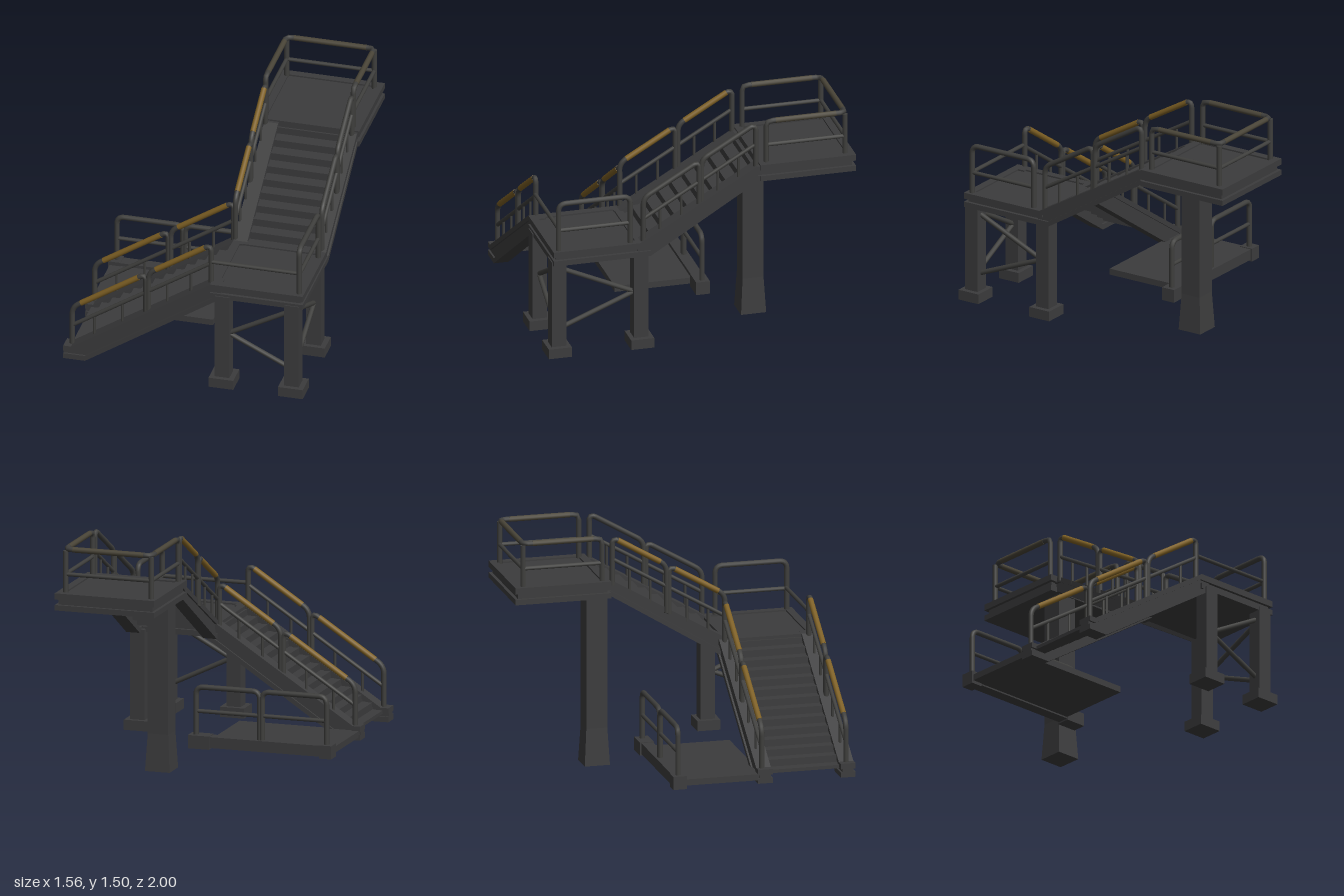
import * as THREE from 'three';

const mat = (name, color) => Object.assign(new THREE.MeshStandardMaterial({ color }), { name });

export function createModel() {
  const root = new THREE.Group();
  root.name = 'metalStaircase';
  const steel = mat('darkSteel', 0x3c3c3d);
  const railSteel = mat('railSteel', 0x3f3f3d);
  const yellow = mat('wornYellow', 0x7e6024);
  const worn = mat('fadedPaint', 0x4a4538);

  const add = (parent, name, geo, m) => {
    const mesh = new THREE.Mesh(geo, m);
    mesh.name = name;
    parent.add(mesh);
    return mesh;
  };
  // Box given by its limits
  const box = (parent, name, x0, x1, y0, y1, z0, z1, m = steel) => {
    const b = add(parent, name, new THREE.BoxGeometry(x1 - x0, y1 - y0, z1 - z0), m);
    b.position.set((x0 + x1) / 2, (y0 + y1) / 2, (z0 + z1) / 2);
    return b;
  };
  // Side profile extruded across z
  const slab = (parent, name, pts, z0, z1, m = steel) => {
    const shape = new THREE.Shape(pts.map(p => new THREE.Vector2(...p)));
    const s = add(parent, name, new THREE.ExtrudeGeometry(shape, { depth: z1 - z0, bevelEnabled: false }), m);
    s.position.z = z0;
    return s;
  };
  // Pipe through points with rounded corners
  const pipe = (parent, name, pts, r = 0.017, m = railSteel, bend = 0.05) => {
    const v = pts.map(p => new THREE.Vector3(...p));
    const path = new THREE.CurvePath();
    let last = v[0];
    for (let i = 1; i < v.length - 1; i++) {
      const a = v[i].clone().add(v[i - 1].clone().sub(v[i]).setLength(bend));
      const b = v[i].clone().add(v[i + 1].clone().sub(v[i]).setLength(bend));
      path.add(new THREE.LineCurve3(last, a));
      path.add(new THREE.QuadraticBezierCurve3(a, v[i], b));
      last = b;
    }
    path.add(new THREE.LineCurve3(last, v[v.length - 1]));
    return add(parent, name, new THREE.TubeGeometry(path, v.length > 2 ? 64 : 1, r, 10, false), m);
  };
  // Straight bar with closed ends
  const bar = (parent, name, a, b, r = 0.013, m = railSteel) => {
    const p = new THREE.Vector3(...a), d = new THREE.Vector3(...b).sub(p);
    const c = add(parent, name, new THREE.CylinderGeometry(r, r, d.length(), 10), m);
    c.position.copy(p).addScaledVector(d, 0.5);
    c.quaternion.setFromUnitVectors(new THREE.Vector3(0, 1, 0), d.normalize());
    return c;
  };

  // Platform: channel-edged frame with a slightly sunken deck
  const platform = (name, x0, x1, z0, z1, y0, y1) => {
    const g = new THREE.Group();
    g.name = name;
    root.add(g);
    const e = 0.02, h = 0.05;
    box(g, 'deck', x0 + e, x1 - e, y0 + 0.02, y1 - 0.01, z0 + e, z1 - e);
    box(g, 'lowerFlange', x0, x1, y0, y0 + 0.035, z0, z1);
    box(g, 'rimFront', x0, x1, y1 - 0.04, y1, z1 - h, z1);
    box(g, 'rimBack', x0, x1, y1 - 0.04, y1, z0, z0 + h);
    box(g, 'rimRight', x0, x0 + h, y1 - 0.04, y1, z0 + h, z1 - h);
    box(g, 'rimLeft', x1 - h, x1, y1 - 0.04, y1, z0 + h, z1 - h);
  };
  platform('middleLanding', 0.17, 0.77, 0.37, 0.96, 0.67, 0.765);
  platform('topPlatform', 0.12, 0.78, -1, -0.38, 1.1, 1.21);

  // Flight climbing along local +x between local z limits
  const flight = (name, f) => {
    const g = new THREE.Group();
    g.name = name;
    root.add(g);
    const { bottom, top, w, sw, steps, rails, h, split } = f;
    const [ta, tb] = [top[1], top[2]];
    const topY = s => ta[1] + (tb[1] - ta[1]) * (s - ta[0]) / (tb[0] - ta[0]);
    // Stringers: web with projecting top and bottom flanges
    const lift = (pts, d) => pts.map(([s, y]) => [s, y + d]);
    for (const z0 of [w[0], w[1] - sw]) {
      slab(g, 'stringerWeb', [...lift(bottom, 0.01), ...lift(top, -0.01).reverse()], z0 + 0.012, z0 + sw - 0.012);
      slab(g, 'stringerTopFlange', [...lift(top, -0.035), ...[...top].reverse()], z0, z0 + sw);
      slab(g, 'stringerBottomFlange', [...bottom, ...lift(bottom, 0.035).reverse()], z0, z0 + sw);
    }
    // Treads and risers
    const run = (tb[0] - ta[0]) / steps, rise = (tb[1] - ta[1]) / steps;
    for (let i = 0; i < steps; i++) {
      const s = ta[0] + i * run, y = ta[1] + i * rise - 0.02;
      const [z0, z1] = [w[0] + sw - 0.015, w[1] - sw + 0.015];
      box(g, 'tread', s - 0.012, s + run, y - 0.018, y + 0.004, z0, z1);
      box(g, 'riser', s + run - 0.012, s + run, y - 0.01, y + rise, z0, z1);
    }
    // Handrails: two hoops per side with a middle rail and short struts
    for (const { z, paint } of rails) {
      for (const [a, b] of [[split[0], split[1] - 0.008], [split[1] + 0.008, split[2]]]) {
        const ya = topY(a), yb = topY(b);
        pipe(g, 'handrailHoop', [[a, ya - 0.03, z], [a, ya + h, z], [b, yb + h, z], [b, yb - 0.03, z]]);
        bar(g, 'middleRail', [a, ya + h * 0.5, z], [b, yb + h * 0.5, z]);
        if (paint) {
          const at = t => [a + (b - a) * t, ya + (yb - ya) * t + h, z];
          bar(g, 'paintedHandrail', at(0.12), at(0.9), 0.0185, yellow);
        }
        for (const t of [0.3, 0.68]) {
          const s = a + (b - a) * t, y = topY(s);
          bar(g, 'strut', [s, y - 0.02, z], [s, y + h * 0.5, z], 0.009);
        }
      }
    }
    return g;
  };
  flight('lowerFlight', {
    bottom: [[-0.78, 0.09], [-0.64, 0.09], [0.24, 0.67]],
    top: [[-0.78, 0.18], [-0.73, 0.18], [0.17, 0.765], [0.24, 0.765]],
    w: [0.33, 0.96], sw: 0.095, steps: 13, h: 0.262, split: [-0.735, -0.25, 0.165],
    rails: [{ z: 0.365, paint: true }, { z: 0.91, paint: true }],
  });
  flight('upperFlight', {
    bottom: [[-0.41, 0.67], [-0.33, 0.67], [0.37, 1.1], [0.4, 1.1]],
    top: [[-0.41, 0.765], [-0.39, 0.765], [0.36, 1.2], [0.4, 1.2]],
    w: [0.17, 0.77], sw: 0.09, steps: 9, h: 0.28, split: [-0.37, 0, 0.36],
    rails: [{ z: 0.178, paint: true }, { z: 0.737, paint: false }],
  }).rotation.y = Math.PI / 2;

  // Ground platform beside the lower flight
  box(root, 'groundDeck', -0.77, 0.03, 0.11, 0.15, -0.18, 0.36);
  box(root, 'groundEdgeBeam', -0.77, 0.16, 0.1, 0.17, -0.21, -0.135);
  box(root, 'groundBeamEnd', 0.03, 0.17, 0.09, 0.175, -0.22, -0.13);
  box(root, 'groundBeamEnd', -0.78, -0.7, 0.09, 0.175, -0.22, -0.13);
  for (const [a, b] of [[-0.735, -0.308], [-0.292, 0.13]]) {
    pipe(root, 'groundRailHoop', [[a, 0.15, -0.178], [a, 0.48, -0.178], [b, 0.48, -0.178], [b, 0.15, -0.178]]);
    bar(root, 'groundMiddleRail', [a, 0.325, -0.178], [b, 0.325, -0.178]);
  }

  // Middle landing rails: hoop on the left side, single bar in front
  pipe(root, 'landingHoop', [[0.737, 0.74, 0.455], [0.737, 1.08, 0.455], [0.737, 1.08, 0.92], [0.737, 0.74, 0.92]]);
  bar(root, 'landingMiddleRail', [0.737, 0.9, 0.455], [0.737, 0.9, 0.92]);
  bar(root, 'landingFrontRail', [0.17, 0.905, 0.915], [0.737, 0.905, 0.915]);

  // Top platform rails on three sides
  const [xr, xl, zf, zb] = [0.16, 0.728, -0.43, -0.942];
  pipe(root, 'topGuardRail', [[xr, 1.18, zf], [xr, 1.485, zf], [xr, 1.485, zb], [xl, 1.485, zb],
    [xl, 1.485, zf], [xl, 1.18, zf]], 0.017, railSteel, 0.035);
  for (const x of [xr, xl]) {
    bar(root, 'topCornerPost', [x, 1.18, zb], [x, 1.475, zb], 0.017);
    bar(root, 'topMiddleRail', [x, 1.325, zf], [x, 1.325, zb]);
    bar(root, 'fadedTopRail', [x, 1.485, zf - 0.06], [x, 1.485, zb + 0.06], 0.018, worn);
  }
  bar(root, 'topMiddleRail', [xr, 1.325, zb], [xl, 1.325, zb]);
  bar(root, 'fadedTopRail', [xr + 0.05, 1.485, zb], [xl - 0.05, 1.485, zb], 0.018, worn);

  // Landing legs with foot pads
  for (const [x, z] of [[0.25, 0.92], [0.7, 0.92], [0.7, 0.385]]) {
    box(root, 'landingLeg', x - 0.047, x + 0.047, 0.08, 0.69, z - 0.047, z + 0.047);
    box(root, 'footPad', x - 0.08, x + 0.08, 0.045, 0.11, z - 0.075, z + 0.075);
  }
  // Diagonal braces meeting halfway up one leg
  for (const y of [0.22, 0.62]) {
    bar(root, 'frontBrace', [0.28, 0.41, 0.92], [0.67, y, 0.92], 0.016);
    bar(root, 'sideBrace', [0.7, 0.41, 0.42], [0.7, y, 0.89], 0.016);
  }

  // Single column under the top platform, flaring at its base
  const column = new THREE.CylinderGeometry(0.068 * Math.SQRT2, 0.068 * Math.SQRT2, 1.12, 4, 14).toNonIndexed();
  column.rotateY(Math.PI / 4);
  const p = column.attributes.position;
  for (let i = 0; i < p.count; i++) {
    const k = 1 + 0.2 * Math.max(0, 1 - (p.getY(i) + 0.56) / 0.24);
    p.setX(i, p.getX(i) * k);
    p.setZ(i, p.getZ(i) * k);
  }
  column.computeVertexNormals();
  add(root, 'topColumn', column, steel).position.set(0.262, 0.56, -0.455);

  return root;
}
